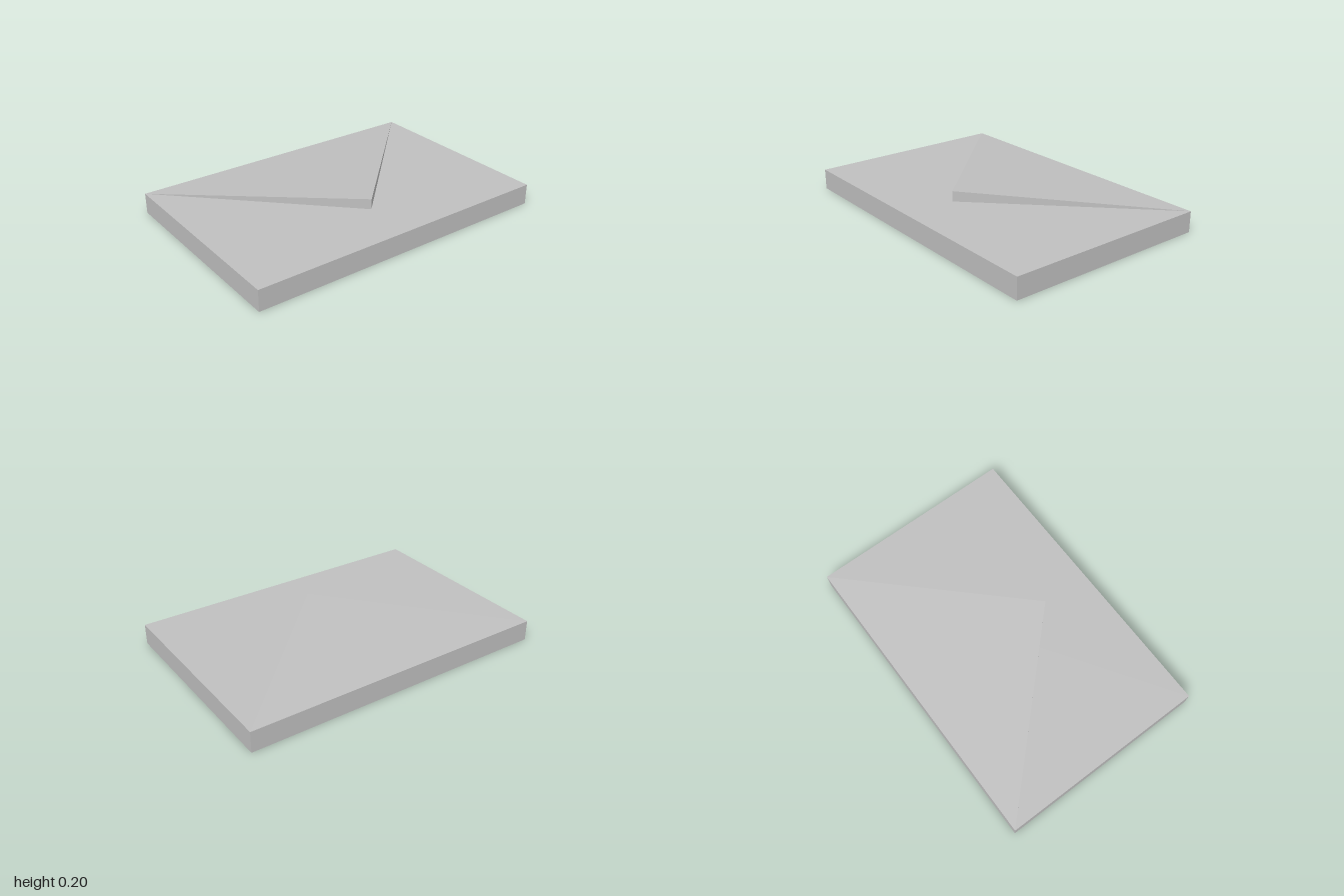
import * as THREE from 'three';

export function createModel() {
  const group = new THREE.Group();
  const paper = new THREE.MeshStandardMaterial({ color: 0xbfbfbf });
  paper.name = 'paper grey';

  const width = 2, depth = 4 / 3, thickness = 2 / 15;
  const apexY = 0.2, apexZ = 1 / 3;

  // Flat rectangular body
  const body = new THREE.Mesh(new THREE.BoxGeometry(width, thickness, depth), paper);
  body.name = 'envelopeBody';
  body.position.y = thickness / 2;
  group.add(body);

  // Triangular flap, hinged on the back edge and rising to its tip
  const backLeft = [width / 2, thickness, -depth / 2];
  const backRight = [-width / 2, thickness, -depth / 2];
  const tip = [0, apexY, apexZ];
  const tipBase = [0, thickness, apexZ];
  const faces = [
    [backRight, tip, backLeft], // sloping top
    [backRight, tipBase, tip], // right edge wall
    [tipBase, backLeft, tip], // left edge wall
  ];
  const flapGeometry = new THREE.BufferGeometry();
  flapGeometry.setAttribute('position', new THREE.Float32BufferAttribute(faces.flat(2), 3));
  flapGeometry.computeVertexNormals();
  const flap = new THREE.Mesh(flapGeometry, paper);
  flap.name = 'envelopeFlap';
  group.add(flap);

  return group;
}
